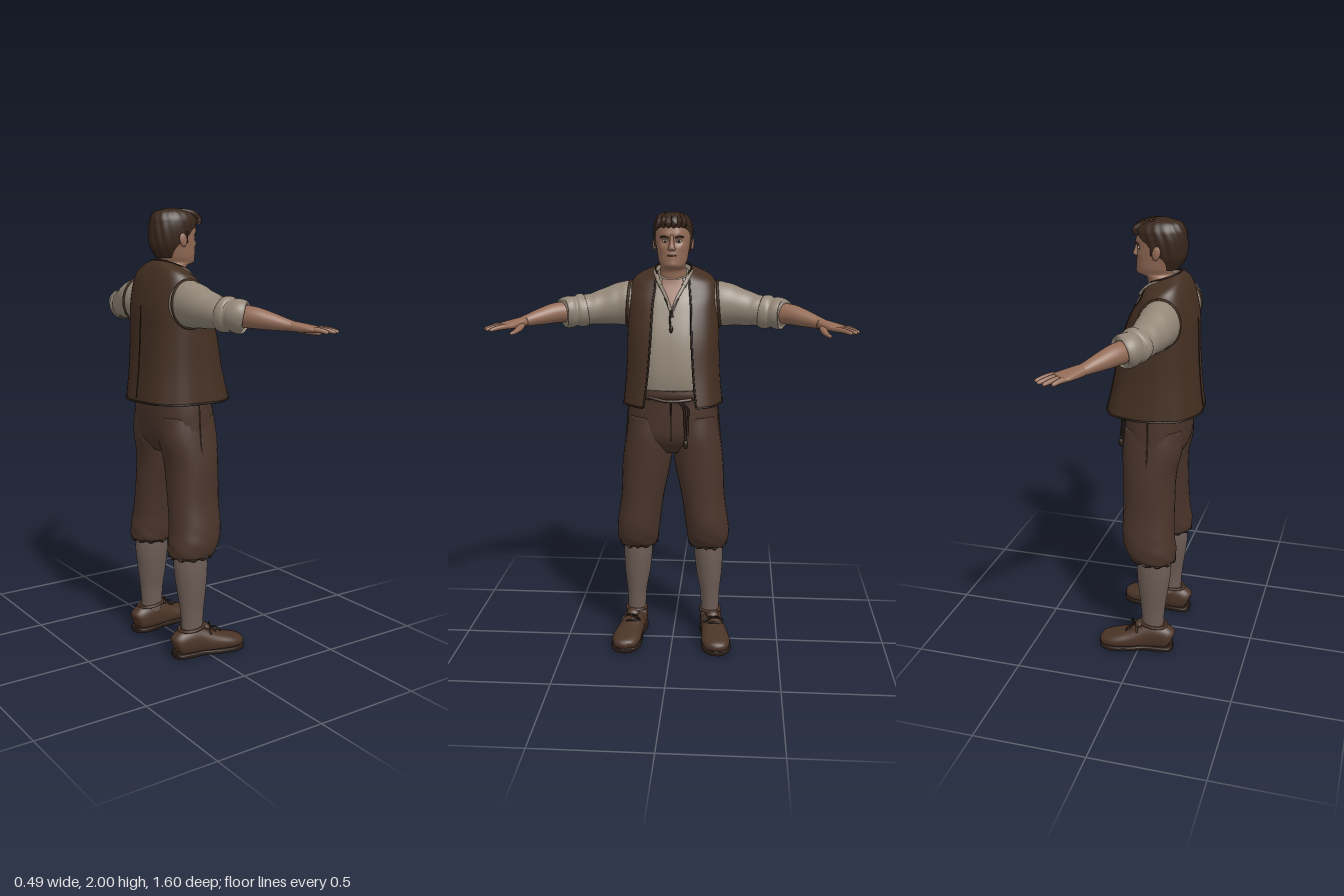
import * as THREE from 'three';
import { mergeVertices } from 'three/addons/utils/BufferGeometryUtils.js';

const mat = (name, color, side = THREE.FrontSide) => {
  const m = new THREE.MeshStandardMaterial({ color, side });
  m.name = name;
  return m;
};

// Loft of superellipse rings [x, y, z, a, b, start angle]; a runs along x (upright) or sideways (limbs)
function loft(rings, { seg = 32, steps = 5, n = 2, warp, capStart = true, capEnd = true, front = false } = {}) {
  const curve = f => new THREE.CatmullRomCurve3(rings.map(f), false, 'catmullrom', 0.5);
  const centre = curve(r => new THREE.Vector3(r[0], r[1], r[2]));
  const size = curve(r => new THREE.Vector3(r[3], r[4], r[5] || 0));
  const span = centre.getPoint(1).sub(centre.getPoint(0));
  const upright = Math.abs(span.y) > Math.hypot(span.x, span.z);
  const up = new THREE.Vector3(0, 1, 0), count = (rings.length - 1) * steps;
  const pos = [], index = [], edges = [[], [], [], []];
  const power = v => Math.sign(v) * Math.abs(v) ** (2 / n);
  for (let i = 0; i <= count; i++) {
    const t = i / count, c = centre.getPoint(t), s = size.getPoint(t);
    const dir = upright ? up.clone() : centre.getTangent(t);
    const u = upright ? new THREE.Vector3(1, 0, 0) : up.clone().cross(dir).normalize();
    const v = dir.clone().cross(u);
    const gap = Math.max(0, s.z);
    const from = front ? -gap : gap, to = front ? gap : 2 * Math.PI - gap;
    for (let j = 0; j <= seg; j++) {
      const q = from + (to - from) * j / seg;
      const p = c.clone().addScaledVector(u, Math.max(0.001, s.x) * power(Math.cos(q)))
        .addScaledVector(v, Math.max(0.001, s.y) * power(Math.sin(q)));
      if (warp) warp(p, t, q, c);
      pos.push(p.x, p.y, p.z);
      if (j === 0) edges[0].push(p);
      if (j === seg) edges[1].push(p);
      if (i === 0) edges[2].push(p);
      if (i === count) edges[3].push(p);
      if (i < count && j < seg) {
        const k = i * (seg + 1) + j, l = k + seg + 1;
        index.push(k, k + 1, l + 1, k, l + 1, l);
      }
    }
  }
  const cap = (row, c, flip) => {
    const m = pos.length / 3;
    pos.push(c.x, c.y, c.z);
    for (let j = 0; j < seg; j++) {
      const k = row * (seg + 1) + j;
      index.push(m, flip ? k + 1 : k, flip ? k : k + 1);
    }
  };
  if (capStart) cap(0, centre.getPoint(0), true);
  if (capEnd) cap(count, centre.getPoint(1), false);
  let g = new THREE.BufferGeometry();
  g.setAttribute('position', new THREE.Float32BufferAttribute(pos, 3));
  g.setIndex(index);
  g = mergeVertices(g, 1e-5);
  g.computeVertexNormals();
  g.userData.edges = edges;
  return g;
}

// Pushes a point away from the ring centre
const swell = (p, c, k) => p.sub(c).multiplyScalar(1 + k).add(c);
const smooth = THREE.MathUtils.smoothstep;

export function createModel() {
  const model = new THREE.Group();
  const D = THREE.DoubleSide;
  const skin = mat('skin', 0x946c57), hair = mat('hair', 0x38261b, D), vest = mat('vest cloth', 0x442f22, D);
  const wool = mat('breeches cloth', 0x49342a), linen = mat('shirt linen', 0x928677, D), knit = mat('stocking knit', 0x6c5c55);
  const leather = mat('shoe leather', 0x4a3326), dark = mat('dark trim', 0x291c15), white = mat('eye white', 0xa89c90);

  const add = (name, geometry, material) => {
    const m = new THREE.Mesh(geometry, material);
    m.name = name;
    model.add(m);
    return m;
  };
  const cord = (name, pts, r, material, n = 24) => add(name, new THREE.TubeGeometry(
    new THREE.CatmullRomCurve3(pts.map(p => p.isVector3 ? p : new THREE.Vector3(...p))), n, r, 6), material);
  const ball = (name, p, s, material) => {
    const m = add(name, new THREE.SphereGeometry(1, 18, 12), material);
    m.position.set(...p);
    m.scale.set(...s);
    return m;
  };

  // Shirt body, with bare skin showing in the open neck
  const slope = p => { p.y -= 0.35 * (p.x + 0.07) * smooth(p.y, 1.6, 1.75); };
  add('shirtBody', loft([[-.045, 1.18, 0, .15, .18], [-.045, 1.3, 0, .165, .19], [-.05, 1.45, 0, .155, .187],
    [-.065, 1.58, 0, .13, .182], [-.07, 1.66, 0, .103, .172], [-.07, 1.71, 0, .082, .15], [-.065, 1.74, 0, .07, .09]],
  { n: 2.4, seg: 48, warp: (p, t, q, c) => { swell(p, c, .012 * Math.sin(q * 13) * Math.sin(t * 3)); slope(p); } }), linen);
  const opening = loft([[-.06, 1.58, 0, .133, .182, .01], [-.064, 1.66, 0, .108, .172, .13],
    [-.062, 1.71, 0, .086, .15, .28], [-.057, 1.74, 0, .073, .09, .5]],
  { n: 2.4, seg: 10, front: true, capStart: false, capEnd: false, warp: slope });
  add('openNeck', opening, skin);
  opening.userData.edges.slice(0, 2).forEach(e => cord('shirtNeckEdge', e, .008, linen));
  cord('shirtLace', [[.06, 1.63, .03], [.075, 1.58, .005], [.09, 1.54, .006], [.1, 1.49, 0]], .004, dark);
  cord('shirtLace', [[.06, 1.63, -.03], [.078, 1.58, -.004], [.088, 1.55, -.006]], .004, dark);
  ball('laceBead', [.1, 1.5, 0], [.008, .016, .008], dark);

  // Open sleeveless vest with dark edging
  const vestShape = loft([[-.025, 1.165, 0, .215, .222, .455], [-.035, 1.3, 0, .19, .21, .407], [-.045, 1.45, 0, .17, .205, .365],
    [-.065, 1.58, 0, .145, .2, .35], [-.075, 1.66, 0, .115, .195, .33], [-.073, 1.71, 0, .094, .172, .37],
    [-.068, 1.74, 0, .08, .11, .6], [-.064, 1.755, 0, .07, .08, 1]],
  { n: 2.5, seg: 48, capStart: false, capEnd: false, warp: (p, t, q, c) => {
    swell(p, c, .012 * Math.sin(q * 9) * (1 - t) ** 2);
    slope(p);
  } });
  add('vest', vestShape, vest);
  vestShape.userData.edges.forEach(e => cord('vestEdging', e, .0045, dark, 60));
  cord('vestBackSeam', [[-.238, 1.18, 0], [-.225, 1.3, 0], [-.216, 1.45, 0], [-.211, 1.58, 0]], .003, dark);

  // Hips, waistband and drawstring
  add('breechesHips', loft([[-.04, .93, 0, .09, .1], [-.04, 1.0, 0, .136, .2], [-.043, 1.08, 0, .147, .207],
    [-.045, 1.17, 0, .149, .2], [-.045, 1.21, 0, .15, .194]], { n: 2.3 }), wool);
  add('waistband', loft([[-.045, 1.185, 0, .155, .197], [-.045, 1.205, 0, .164, .2], [-.045, 1.23, 0, .162, .195]], { n: 2.3 }), wool);
  cord('drawstringBelt', [[.1, 1.2, .1], [.118, 1.185, .03], [.12, 1.185, -.03], [.108, 1.19, -.09]], .007, wool);
  cord('drawstring', [[.118, 1.19, -.03], [.118, 1.15, -.058], [.113, 1.08, -.062], [.12, .985, -.066]], .006, dark);
  cord('drawstring', [[.118, 1.19, -.03], [.115, 1.15, -.075], [.115, 1.08, -.073], [.12, 1.03, -.075]], .005, dark);
  ball('drawstringKnot', [.123, .99, -.066], [.011, .02, .011], dark);
  cord('flySeam', [[.115, 1.18, 0], [.107, 1.08, 0], [.1, 1.0, 0]], .003, dark);

  // Head with sunken eye sockets, on the neck
  add('headAndNeck', loft([[-.06, 1.65, 0, .06, .075], [-.052, 1.715, 0, .06, .062], [-.045, 1.75, 0, .062, .058],
    [-.02, 1.765, 0, .074, .054], [-.022, 1.79, 0, .08, .063], [-.03, 1.83, 0, .087, .07], [-.04, 1.87, 0, .097, .077],
    [-.045, 1.91, 0, .102, .079], [-.048, 1.95, 0, .096, .073], [-.05, 1.98, 0, .068, .05], [-.05, 1.99, 0, .02, .02]],
  { seg: 48, steps: 6, n: 2.15, warp: p => {
    if (p.x < 0) return;
    const bump = (y, z, r) => Math.exp(-((p.y - y) ** 2 + (Math.abs(p.z) - z) ** 2) / (r * r));
    p.x += .007 * bump(1.9, .025, .018) - .013 * bump(1.874, .03, .015) + .005 * bump(1.81, 0, .02)
      + .006 * bump(1.775, 0, .018) + .004 * bump(1.845, .045, .02);
  } }), skin);
  add('nose', loft([[.058, 1.834, 0, .008, .012], [.062, 1.84, 0, .014, .017], [.062, 1.85, 0, .015, .014],
    [.057, 1.87, 0, .013, .009], [.05, 1.9, 0, .012, .009]], { seg: 16 }), skin);
  cord('mouth', [[.05, 1.811, .024], [.061, 1.813, .01], [.062, 1.813, -.01], [.05, 1.811, -.024]], .0035, leather);

  // Short swept hair
  add('hair', loft([[-.043, 1.785, 0, .078, .058, 2.1], [-.044, 1.83, 0, .108, .076, 1.85], [-.046, 1.865, 0, .112, .083, 1.45],
    [-.047, 1.9, 0, .112, .086, 1.1], [-.044, 1.93, 0, .112, .086, .7], [-.041, 1.955, 0, .11, .081, .1],
    [-.043, 1.982, 0, .087, .062, 0], [-.05, 1.996, 0, .03, .03, 0]],
  { seg: 64, capStart: false, warp: (p, t, q, c) => swell(p, c, .02 * Math.sin(q * 17 + t * 9)) }), hair);
  for (let i = 0; i < 6; i++) {
    const z = -.055 + i * .022;
    cord('forelock', [[-.03, 1.985, z * .7], [.025, 1.975, z * .85 + .006], [.055, 1.955 + .006 * Math.sin(i * 2), z], [.05, 1.934, z + .008]], .012, hair);
  }

  for (const s of [1, -1]) {
    const side = rings => rings.map(([x, y, z, ...r]) => [x, y, z * s, ...r]);
    const line = pts => pts.map(([x, y, z]) => [x, y, z * s]);

    // Face details
    ball('eye', [.041, 1.874, .03 * s], [.01, .007, .012], white);
    ball('iris', [.049, 1.874, .03 * s], [.003, .005, .005], dark);
    cord('eyebrow', line([[.057, 1.888, .014], [.056, 1.894, .032], [.04, 1.89, .05]]), .004, hair);
    ball('ear', [-.045, 1.862, .083 * s], [.018, .03, .009], skin).rotation.z = .2;
    cord('sideburn', line([[-.028, 1.9, .079], [-.026, 1.875, .077], [-.024, 1.85, .073]]), .008, hair);

    // Shirt collar leaf
    cord('shirtCollar', line([[-.13, 1.762, .01], [-.105, 1.757, .055], [-.06, 1.742, .078], [-.01, 1.72, .07], [.03, 1.68, .05]]), .011, linen);

    // Sleeve with a rolled cuff
    add('sleeve', loft(side([[-.09, 1.6, .15, .075, .09], [-.092, 1.595, .2, .088, .1], [-.088, 1.587, .26, .084, .092],
      [-.073, 1.573, .34, .074, .075], [-.055, 1.565, .4, .068, .067], [-.037, 1.56, .46, .062, .062]]),
    { steps: 8, warp: (p, t, q, c) => swell(p, c, .025 * Math.sin(t * 30 + q * 2) * t) }), linen);
    add('rolledCuff', loft(side([[-.058, 1.566, .39, .055, .055], [-.055, 1.564, .4, .073, .072], [-.045, 1.562, .425, .073, .074],
      [-.04, 1.561, .44, .067, .066], [-.033, 1.56, .46, .071, .071], [-.023, 1.559, .487, .066, .068], [-.018, 1.558, .494, .048, .05]]),
    { warp: (p, t, q, c) => swell(p, c, .03 * Math.sin(q * 3 + t * 8)) }), linen);
    cord('armholeEdging', Array.from({ length: 25 }, (_, i) => {
      const q = i / 24 * 2 * Math.PI;
      return [-.09 + .09 * Math.cos(q), 1.595 + .102 * Math.sin(q), (.202 - .008 * Math.sin(q)) * s];
    }), .006, vest, 48);

    // Forearm, palm and fingers
    add('forearm', loft(side([[-.045, 1.56, .44, .045, .045], [-.005, 1.557, .52, .045, .045], [.035, 1.545, .58, .039, .037],
      [.075, 1.532, .635, .03, .026], [.1, 1.525, .665, .03, .02]])), skin);
    add('palm', loft(side([[.085, 1.529, .645, .028, .021], [.11, 1.523, .675, .037, .02], [.14, 1.518, .71, .046, .016],
      [.162, 1.515, .737, .043, .012]]), { n: 2.4 }), skin);
    const fingers = [[.184, .703, .24, .765], [.165, .718, .222, .787], [.145, .732, .195, .8], [.126, .745, .16, .795]];
    for (const [x0, z0, x1, z1] of fingers) {
      const at = (k, y, r) => [x0 + (x1 - x0) * k, y, z0 + (z1 - z0) * k, r, r];
      add('finger', loft(side([at(-.25, 1.515, .009), at(.1, 1.517, .0115), at(.55, 1.514, .01), at(.9, 1.508, .008), at(1, 1.506, .003)]),
        { seg: 12, steps: 3 }), skin);
    }
    add('thumb', loft(side([[.1, 1.52, .655, .018, .015], [.15, 1.507, .655, .016, .014], [.195, 1.497, .664, .011, .01],
      [.22, 1.492, .676, .008, .007], [.226, 1.491, .68, .003, .003]]), { seg: 12 }), skin);

    // Baggy breeches leg, gathered below the knee
    add('breechesLeg', loft(side([[-.057, .465, .163, .085, .075], [-.055, .48, .164, .105, .09], [-.043, .53, .164, .118, .099],
      [-.032, .6, .157, .12, .1], [-.03, .72, .14, .118, .1], [-.028, .88, .12, .121, .112], [-.038, 1.0, .109, .135, .107],
      [-.042, 1.1, .1, .13, .1]]),
    { steps: 8, n: 2.2, warp: (p, t, q, c) => swell(p, c, .022 * Math.sin(q * 5 + t * 35) * Math.max(0, 1 - t * 2)) }), wool);
    const hem = Array.from({ length: 33 }, (_, i) => {
      const q = i / 32 * 2 * Math.PI;
      return [-.056 + .1 * Math.cos(q), .473 + .007 * Math.sin(i * 2.3), (.164 + .086 * Math.sin(q)) * s];
    });
    cord('breechesHem', hem, .006, dark, 96);
    cord('sideSeam', line([[-.04, 1.16, .203], [-.04, 1.0, .217], [-.03, .85, .23]]), .003, wool);

    // Stocking
    add('stocking', loft(side([[-.06, .07, .176, .05, .04], [-.058, .14, .176, .052, .043], [-.058, .22, .175, .058, .046],
      [-.059, .32, .171, .071, .06], [-.061, .41, .168, .08, .067], [-.06, .5, .165, .078, .066]])), knit);

    // Shoe with sole, heel and laces
    add('shoe', loft(side([[-.153, .055, .176, .02, .03], [-.138, .06, .177, .043, .052], [-.085, .068, .18, .051, .066],
      [-.025, .064, .187, .052, .063], [.045, .05, .2, .06, .046], [.12, .041, .211, .066, .034], [.17, .034, .217, .047, .026],
      [.188, .03, .218, .015, .01]]), { n: 2.3, warp: p => { p.y = Math.max(p.y, .018); } }), leather);
    add('sole', loft(side([[-.156, .012, .176, .02, .012], [-.14, .012, .177, .046, .012], [-.085, .012, .18, .053, .012],
      [-.02, .012, .189, .05, .012], [.045, .012, .202, .062, .012], [.12, .012, .212, .069, .012], [.172, .012, .217, .05, .012],
      [.19, .012, .218, .018, .012]]), { n: 5 }), dark);
    cord('shoeCollar', Array.from({ length: 17 }, (_, i) => {
      const q = i / 16 * 2 * Math.PI;
      return [-.062 + .062 * Math.cos(q), .128 + .006 * Math.cos(q), (.178 + .046 * Math.sin(q)) * s];
    }), .008, leather, 40);
    ball('shoeTongue', [.002, .122, .19 * s], [.025, .018, .03], leather).rotation.z = -.5;
    for (const [x, y] of [[.015, .118], [.045, .101]])
      cord('lace', line([[x - .01, y - .022, .15], [x, y, .185], [x, y, .205], [x - .01, y - .022, .242]]), .005, dark);
    cord('laceBow', line([[.02, .12, .195], [.045, .122, .165], [.055, .105, .15], [.03, .112, .18], [.02, .12, .195],
      [.045, .12, .228], [.058, .102, .24]]), .004, dark);
  }
  return model;
}
